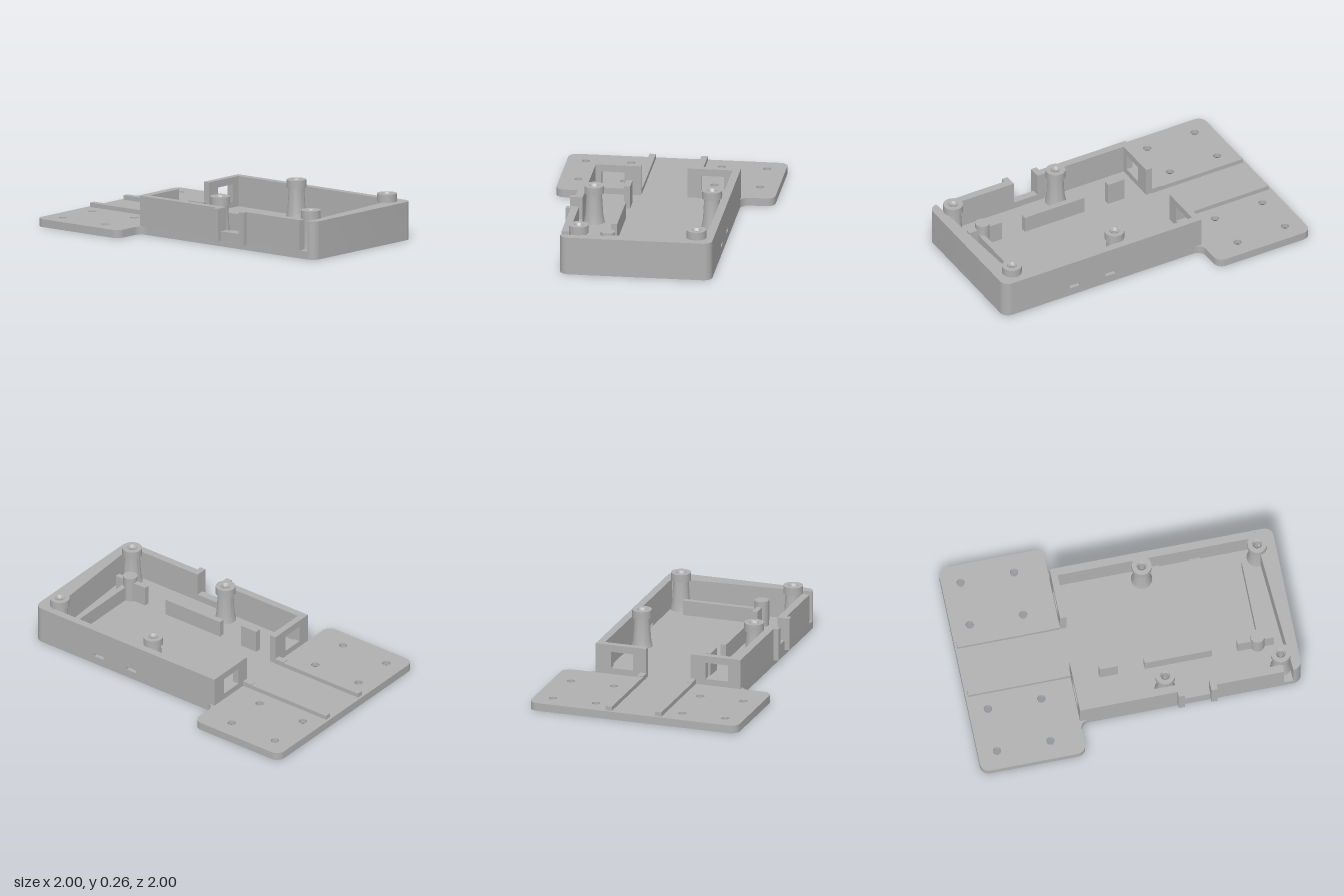
import * as THREE from 'three';
import { toCreasedNormals } from 'three/addons/utils/BufferGeometryUtils.js';

// Plan dimensions: u runs along the case, v across it
const FLANGE_U = -0.831, BODY_U = -0.237, END_U = 1.019;
const FLANGE_W = 0.612, BODY_W = 0.425, WALL = 0.043, R = 0.05;
const FLOOR = 0.045, RIM = 0.215, SINK = 0.018;

export function createModel() {
  const model = new THREE.Group();
  const body = new THREE.Group();
  body.name = 'enclosure';
  body.rotation.y = -Math.PI / 4;
  model.add(body);

  const grey = new THREE.MeshStandardMaterial({ color: 0xb0b0b0, side: THREE.DoubleSide });
  grey.name = 'grey plastic';

  const add = (name, geo, x = 0, y = 0, z = 0) => {
    const mesh = new THREE.Mesh(toCreasedNormals(geo, 0.5), grey);
    mesh.name = name;
    mesh.position.set(x, y, z);
    body.add(mesh);
    return mesh;
  };
  const box = (name, u0, u1, v0, v1, y0, y1) =>
    add(name, new THREE.BoxGeometry(u1 - u0, y1 - y0, v1 - v0),
      (u0 + u1) / 2, (y0 + y1) / 2, -(v0 + v1) / 2);
  const extrude = (shape, depth) =>
    new THREE.ExtrudeGeometry(shape, { depth, bevelEnabled: false, curveSegments: 12 });
  const plan = (name, shape, y0, y1) =>
    add(name, extrude(shape, y1 - y0).rotateX(-Math.PI / 2), 0, y0);
  const circle = (u, v, r) => new THREE.Path().absarc(u, v, r, 0, Math.PI * 2, true);
  const polygon = (pts, Type = THREE.Shape) => new Type(pts.map(p => new THREE.Vector2(...p)));
  const rect = (x0, y0, x1, y1) => polygon([[x0, y0], [x0, y1], [x1, y1], [x1, y0]], THREE.Path);

  // Floor and flange in one rounded outline, with concave fillets where they meet
  const outline = () => {
    const s = new THREE.Shape();
    s.moveTo(FLANGE_U, 0);
    s.lineTo(FLANGE_U, -FLANGE_W + R);
    s.absarc(FLANGE_U + R, -FLANGE_W + R, R, Math.PI, Math.PI * 1.5, false);
    s.absarc(BODY_U - R, -FLANGE_W + R, R, Math.PI * 1.5, Math.PI * 2, false);
    s.absarc(BODY_U + R, -BODY_W - R, R, Math.PI, Math.PI / 2, true);
    s.absarc(END_U - R, -BODY_W + R, R, Math.PI * 1.5, Math.PI * 2, false);
    s.absarc(END_U - R, BODY_W - R, R, 0, Math.PI / 2, false);
    s.absarc(BODY_U + R, BODY_W + R, R, Math.PI * 1.5, Math.PI, true);
    s.absarc(BODY_U - R, FLANGE_W - R, R, 0, Math.PI / 2, false);
    s.absarc(FLANGE_U + R, FLANGE_W - R, R, Math.PI / 2, Math.PI, false);
    s.closePath();
    return s;
  };
  const lower = outline(), upper = outline();
  for (const u of [-0.723, -0.421]) {
    for (const v of [-0.506, -0.253, 0.253, 0.506]) {
      lower.holes.push(circle(u, v, 0.04));
      upper.holes.push(circle(u, v, 0.023));
      add('countersink', new THREE.LatheGeometry(
        [new THREE.Vector2(0.023, SINK), new THREE.Vector2(0.04, 0)], 24), u, 0, -v);
    }
  }
  lower.holes.push(circle(0.675, 0, 0.095)); // round recess underneath
  plan('floorUnderside', lower, 0, SINK);
  plan('floor', upper, SINK, FLOOR);

  // Thick end wall with rounded outer corners
  const end = new THREE.Shape();
  end.moveTo(0.917, -BODY_W);
  end.absarc(END_U - R, -BODY_W + R, R, Math.PI * 1.5, Math.PI * 2, false);
  end.absarc(END_U - R, BODY_W - R, R, 0, Math.PI / 2, false);
  end.lineTo(0.917, BODY_W);
  end.closePath();
  plan('endWall', end, FLOOR, RIM);

  // Slotted side wall
  const slotted = polygon([[BODY_U, FLOOR], [0.917, FLOOR], [0.917, RIM], [BODY_U, RIM]]);
  for (const u of [0.343, 0.57]) slotted.holes.push(rect(u - 0.032, 0.047, u + 0.032, 0.065));
  add('slottedSideWall', extrude(slotted, WALL), 0, 0, -BODY_W);

  // Opposite side wall with a notch framed by two outer jambs
  const notched = polygon([[BODY_U, FLOOR], [0.917, FLOOR], [0.917, RIM], [0.5, RIM],
    [0.5, 0.085], [0.35, 0.085], [0.35, RIM], [BODY_U, RIM]]);
  add('notchedSideWall', extrude(notched, WALL), 0, 0, BODY_W - WALL);
  for (const u of [0.315, 0.5])
    box('notchJamb', u, u + 0.035, -BODY_W - 0.028, -BODY_W + 0.005, 0.03, RIM);

  for (const s of [-1, 1]) {
    // Back wall with a square window
    const back = polygon([[0.13, FLOOR], [BODY_W, FLOOR], [BODY_W, RIM], [0.13, RIM]]);
    back.holes.push(rect(0.205, 0.08, 0.335, 0.175));
    const geo = extrude(back, 0.037).rotateY(Math.PI / 2);
    const wall = add('backWall', geo, BODY_U, 0, s < 0 ? BODY_W + 0.13 : 0);
    // The profile runs toward negative z, so the other half is shifted across
    if (s < 0) wall.position.z = BODY_W + 0.13;

    // Guide rail across the flange, with a small stop by the wall
    const v = s * 0.145;
    box('guideRail', FLANGE_U + 0.015, BODY_U, v - 0.018, v + 0.018, FLOOR, 0.07);
    box('railStop', -0.295, BODY_U, v - 0.018, v + 0.018, FLOOR, 0.074);

    // Screw posts with flared shaft, collar and blind bore
    for (const u of [0.264, 0.917]) {
      const profile = [[0.06, 0.04], [0.05, 0.09], [0.043, RIM], [0.055, RIM], [0.055, 0.26],
        [0.028, 0.26], [0.018, 0.245], [0.018, 0.1], [0, 0.1]];
      add('screwPost', new THREE.LatheGeometry(profile.map(p => new THREE.Vector2(...p)), 32),
        u, 0, -s * 0.329);
    }
  }

  // Inner board supports
  box('shortRib', -0.08, 0.025, -0.195, -0.16, FLOOR, 0.175);
  box('longRib', 0.175, 0.555, -0.195, -0.162, FLOOR, 0.14);
  box('crossRib', 0.82, 0.85, -0.17, 0.285, FLOOR, 0.13);
  box('clipRib', 0.7, 0.905, -0.195, -0.165, FLOOR, 0.16);
  add('clipPost', new THREE.CylinderGeometry(0.04, 0.04, 0.145, 24), 0.815, FLOOR + 0.0725, 0.18);

  return model;
}
